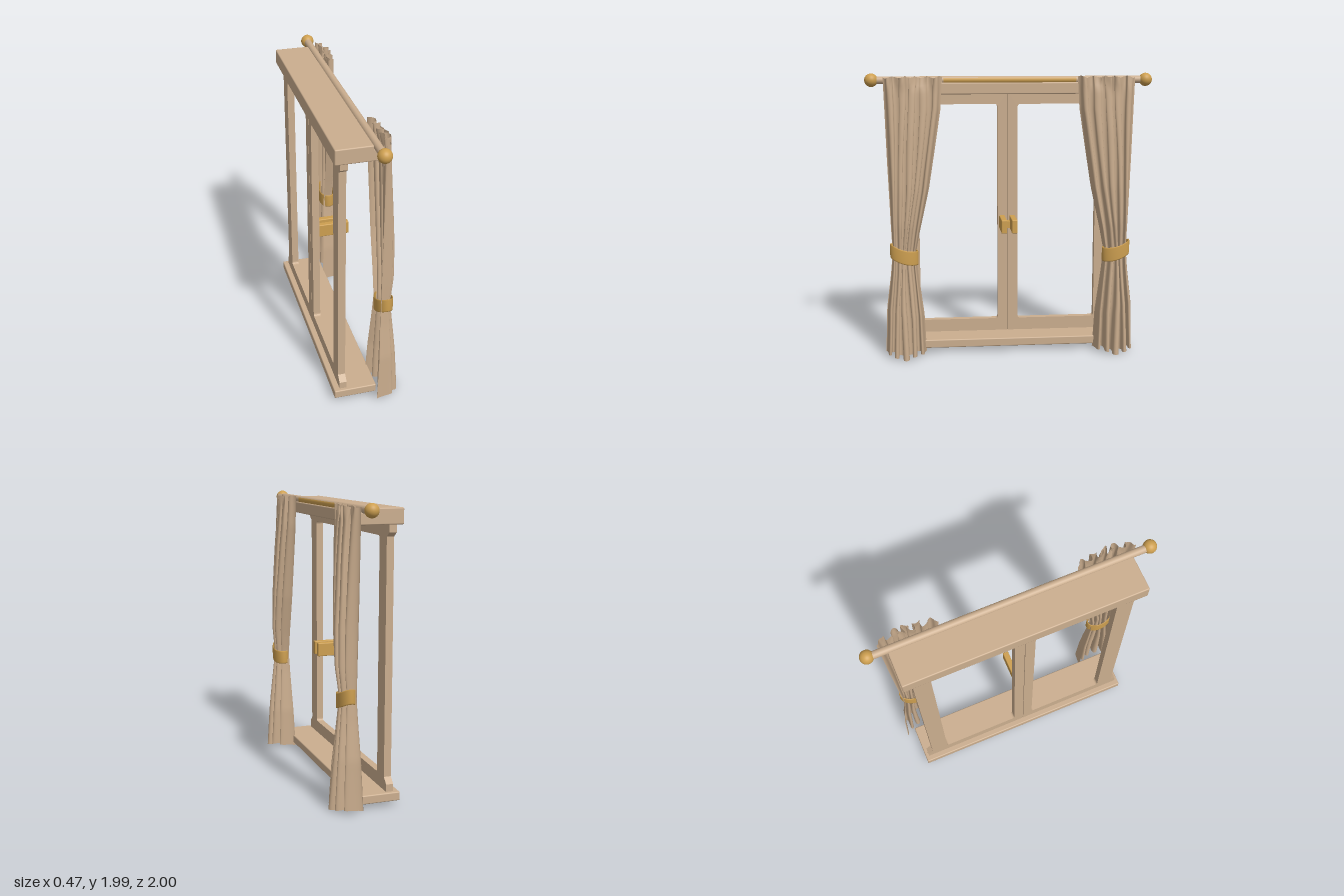
import * as THREE from 'three';
import { RoundedBoxGeometry } from 'three/addons/geometries/RoundedBoxGeometry.js';

const wood = new THREE.MeshStandardMaterial({ color: 0xcbae8f });
wood.name = 'light wood';
const fabric = new THREE.MeshStandardMaterial({ color: 0xc8ab8c, side: THREE.DoubleSide });
fabric.name = 'beige fabric';
const gold = new THREE.MeshStandardMaterial({ color: 0xcd9f50 });
gold.name = 'gold';

function add(parent, name, geometry, material, x = 0, y = 0, z = 0) {
  const mesh = new THREE.Mesh(geometry, material);
  mesh.name = name;
  mesh.position.set(x, y, z);
  parent.add(mesh);
  return mesh;
}

// Extrude a shape drawn in (z, y) so that it runs from xFront towards -x
function extrudeBack(parent, name, shape, depth, xFront, bevel = 0) {
  const geometry = new THREE.ExtrudeGeometry(shape, {
    depth, bevelEnabled: bevel > 0, bevelSize: bevel, bevelThickness: bevel, bevelSegments: 2, curveSegments: 6,
  });
  add(parent, name, geometry, wood, xFront).rotation.y = -Math.PI / 2;
}

// Rounded rectangular opening
function openingPath(z0, z1, y0, y1, r) {
  const p = new THREE.Path();
  p.moveTo(z0 + r, y0);
  p.lineTo(z1 - r, y0);
  p.quadraticCurveTo(z1, y0, z1, y0 + r);
  p.lineTo(z1, y1 - r);
  p.quadraticCurveTo(z1, y1, z1 - r, y1);
  p.lineTo(z0 + r, y1);
  p.quadraticCurveTo(z0, y1, z0, y1 - r);
  p.lineTo(z0, y0 + r);
  p.quadraticCurveTo(z0, y0, z0 + r, y0);
  return p;
}

// Piecewise smooth interpolation through [y, value] pairs in rising y
function sample(table, y) {
  for (let i = 1; i < table.length; i++) {
    const [ya, a] = table[i - 1], [yb, b] = table[i];
    if (y <= yb) return THREE.MathUtils.lerp(a, b, THREE.MathUtils.clamp((y - ya) / (yb - ya), 0, 1));
  }
  return table[table.length - 1][1];
}

// Curtain profile tables: outer and inner edge, back and front reach
const outerZ = [[0, 0.9], [0.35, 0.885], [0.6, 0.85], [0.75, 0.835], [0.95, 0.845], [1.4, 0.865], [1.98, 0.885]];
const innerZ = [[0, 0.59], [0.3, 0.605], [0.6, 0.645], [0.75, 0.66], [0.9, 0.63], [1.2, 0.56], [1.5, 0.51], [1.75, 0.47], [1.98, 0.455]];
const backX = [[0, 0.045], [0.3, 0.057], [0.75, 0.075], [1.98, 0.07]];
const frontX = [[0, 0.235], [0.3, 0.212], [0.6, 0.18], [0.75, 0.165], [0.95, 0.188], [1.2, 0.186], [1.6, 0.164], [1.9, 0.14], [1.98, 0.13]];

// Pleated sheet with rounded folds that bunch at the tieback
function curtainGeometry(side) {
  const cols = 160, rows = 70, pos = [], index = [];
  for (let j = 0; j <= rows; j++) {
    for (let i = 0; i <= cols; i++) {
      const u = i / cols;
      const hem = 0.012 * Math.sin(u * 9);
      const y = 0.018 + hem * (1 - j / rows) + (j / rows) * 1.95;
      const back = sample(backX, y), depth = sample(frontX, y) - back;
      const zo = sample(outerZ, y), zi = sample(innerZ, y), width = zo - zi;
      const phase = u * Math.PI * 10 + 0.4 * Math.sin(u * 7 + y * 1.5);
      const wave = 0.5 - 0.5 * Math.cos(phase);
      const arch = Math.sin(Math.PI * u);
      const header = THREE.MathUtils.smoothstep(y, 1.86, 1.96);
      const x = back + depth * (0.35 * arch + 0.65 * wave * (0.75 + 0.25 * arch))
        + header * 0.014 * arch * Math.sin(u * Math.PI * 24);
      const z = zi + width * (0.03 + 0.94 * u) + width * 0.035 * Math.sin(phase * 2) * arch
        + 0.006 * Math.sin(y * 5 + u * 11) * arch;
      pos.push(x, y + header * 0.008 * Math.sin(phase), side * z);
    }
  }
  for (let j = 0; j < rows; j++) {
    for (let i = 0; i < cols; i++) {
      const a = j * (cols + 1) + i, b = a + 1, c = a + cols + 1, d = c + 1;
      if (side > 0) index.push(a, c, b, b, c, d);
      else index.push(a, b, c, b, d, c);
    }
  }
  const geometry = new THREE.BufferGeometry();
  geometry.setAttribute('position', new THREE.Float32BufferAttribute(pos, 3));
  geometry.setIndex(index);
  geometry.computeVertexNormals();
  return geometry;
}

// Oval band, sloping down towards the middle of the window
function tiebackGeometry(side) {
  const profile = [[0.9, -0.047], [0.97, -0.05], [1, -0.042], [1, 0.042], [0.97, 0.05], [0.9, 0.047], [0.9, -0.047]]
    .map(([r, y]) => new THREE.Vector2(r, y));
  const geometry = new THREE.LatheGeometry(profile, 40);
  geometry.scale(0.06, 1, 0.098);
  const p = geometry.attributes.position;
  for (let i = 0; i < p.count; i++) {
    const z = p.getZ(i) * side;
    p.setY(i, p.getY(i) + z * 0.28 + 1.6 * z * z);
  }
  geometry.computeVertexNormals();
  return geometry;
}

export function createModel() {
  const model = new THREE.Group();
  model.name = 'window';

  // Sill and lintel; the lintel has a ledge for the rod
  add(model, 'sill', new RoundedBoxGeometry(0.295, 0.06, 1.65, 2, 0.008), wood, -0.0875, 0.07);
  add(model, 'lintel', new RoundedBoxGeometry(0.295, 0.08, 1.65, 2, 0.008), wood, -0.0875, 1.89);
  add(model, 'lintelTop', new RoundedBoxGeometry(0.245, 0.09, 1.65, 2, 0.008), wood, -0.1125, 1.91);

  for (const side of [1, -1]) {
    // Sash with flared ends at top and bottom
    const outline = [[0.002, 0.095], [0.8, 0.095], [0.8, 0.15], [0.76, 0.19], [0.76, 1.77], [0.8, 1.8], [0.8, 1.855], [0.002, 1.855]];
    const shape = new THREE.Shape(outline.map(([z, y]) => new THREE.Vector2(side * z, y)));
    const [z0, z1] = side > 0 ? [0.072, 0.64] : [-0.64, -0.072];
    shape.holes.push(openingPath(z0, z1, 0.19, 1.77, 0.022));
    extrudeBack(model, side > 0 ? 'leftSash' : 'rightSash', shape, 0.05, -0.145);

    // Handle plate
    add(model, 'handle', new RoundedBoxGeometry(0.22, 0.095, 0.04, 2, 0.006), gold, -0.037, 0.918, 0.005 + side * 0.037);

    // Rod end and finial
    add(model, 'rodEnd', new THREE.CylinderGeometry(0.026, 0.026, 0.46, 24), wood, 0.03, 1.947, side * 0.69).rotation.x = Math.PI / 2;
    add(model, 'finial', new THREE.SphereGeometry(0.046, 28, 20), gold, 0.033, 1.947, side * 0.952);

    // Curtain and tieback
    add(model, 'curtain', curtainGeometry(side), fabric);
    add(model, 'tieback', tiebackGeometry(side), gold, 0.118, 0.735, side * 0.747);
  }

  // Handle crosspiece near the sash
  add(model, 'handleBridge', new THREE.BoxGeometry(0.06, 0.05, 0.05), gold, -0.115, 0.905, 0.005);

  // Middle of the rod: gold front, wood top and back
  const rod = new THREE.Group();
  rod.name = 'rod';
  rod.position.set(0.03, 1.947, 0);
  rod.rotation.x = Math.PI / 2;
  const arc = (start, length) => new THREE.CylinderGeometry(0.026, 0.026, 0.92, 16, 1, true, start, length);
  const goldStart = Math.PI * 0.3, goldLength = Math.PI * 0.75;
  // Cylinder angle PI/2 faces +x; smaller angles face down after the turn
  add(rod, 'rodFront', arc(Math.PI - goldStart - goldLength, goldLength), gold);
  add(rod, 'rodBack', arc(Math.PI - goldStart, Math.PI * 2 - goldLength), wood);
  model.add(rod);

  return model;
}
